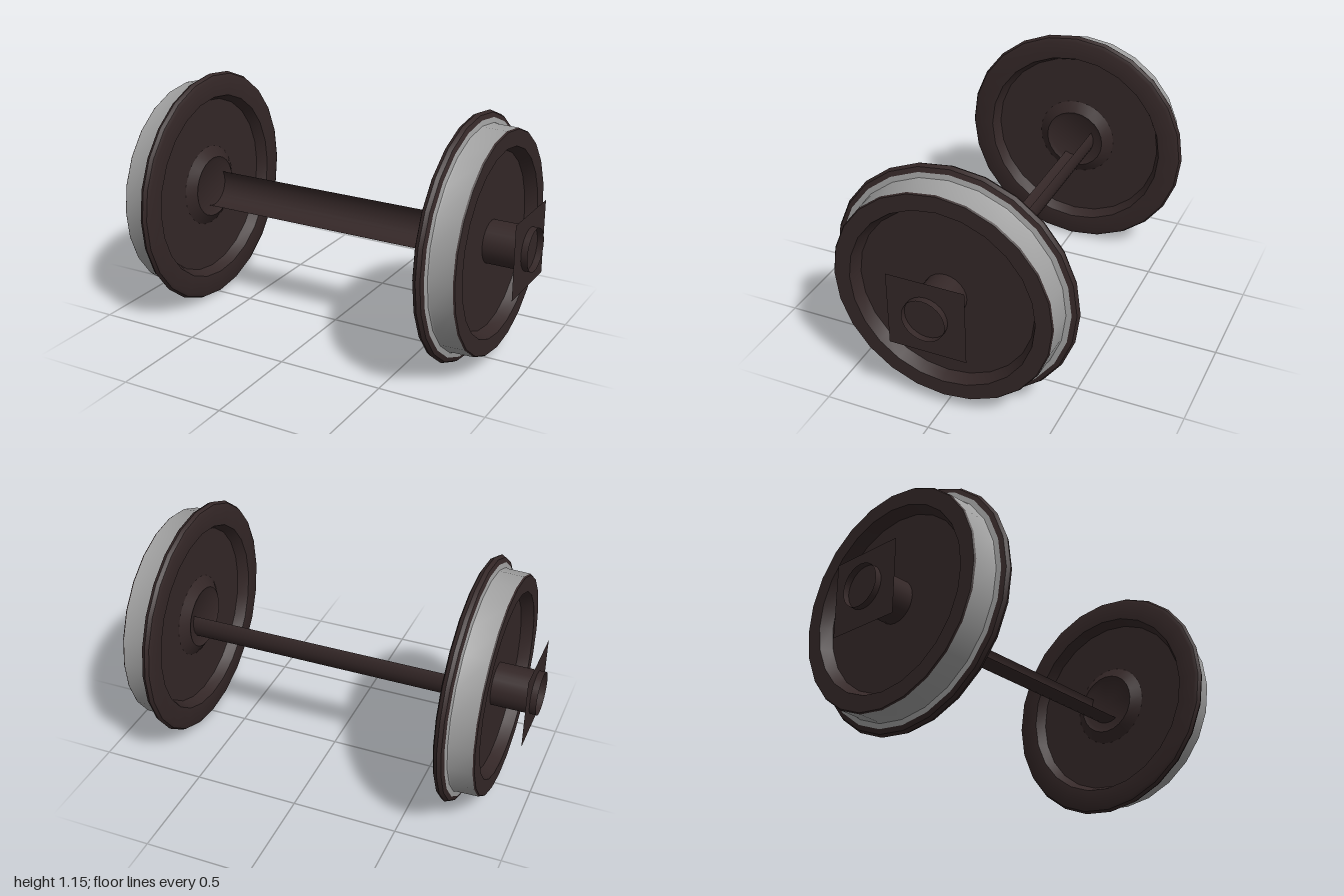
import * as THREE from 'three';
import { toCreasedNormals } from 'three/addons/utils/BufferGeometryUtils.js';

const SIDES = 24;
const AXIS_Y = 0.58;

export function createModel() {
  const darkBrown = new THREE.MeshStandardMaterial({ color: 0x342727, side: THREE.DoubleSide });
  const steelGrey = new THREE.MeshStandardMaterial({ color: 0xa0a0a0, side: THREE.DoubleSide });

  const model = new THREE.Group();
  model.name = 'wheelset';

  // Adds a mesh whose own y axis is turned to point along +x
  const add = (parent, name, geometry, material) => {
    const mesh = new THREE.Mesh(geometry, material);
    mesh.name = name;
    mesh.rotation.z = -Math.PI / 2;
    parent.add(mesh);
    return mesh;
  };

  // Revolves [radius, distance along axle] pairs
  const revolve = (points) => toCreasedNormals(
    new THREE.LatheGeometry(points.map(([r, x]) => new THREE.Vector2(r, x)), SIDES), 0.6);

  // Inner face: hub boss, recessed web, rim and rounded flange
  const innerFace = revolve([
    [0, 0.7], [0.13, 0.7], [0.15, 0.69], [0.2, 0.725], [0.435, 0.725], [0.46, 0.675],
    [0.55, 0.672], [0.566, 0.68], [0.575, 0.697], [0.566, 0.714], [0.545, 0.722],
  ]);
  // Running surface with the fillet up to the flange
  const tread = revolve([[0.545, 0.722], [0.522, 0.727], [0.518, 0.735], [0.515, 0.838]]);
  // Outer face: rim and dished web
  const outerFace = revolve([
    [0.515, 0.838], [0.51, 0.845], [0.435, 0.845], [0.41, 0.79], [0, 0.79],
  ]);
  const stub = new THREE.CylinderGeometry(0.1, 0.1, 0.22, SIDES, 1, true);
  const plate = new THREE.PlaneGeometry(0.36, 0.35);

  for (const side of [1, -1]) {
    const wheel = new THREE.Group();
    wheel.name = side > 0 ? 'leftWheel' : 'rightWheel';
    wheel.position.y = AXIS_Y;
    wheel.rotation.y = side > 0 ? 0 : Math.PI;
    add(wheel, 'innerFaceAndFlange', innerFace, darkBrown);
    add(wheel, 'tread', tread, steelGrey);
    add(wheel, 'outerFace', outerFace, darkBrown);

    // Open axle end with a thin square bearing plate set just inside it
    add(wheel, 'axleEnd', stub, darkBrown).position.x = 0.89;
    const bearingPlate = new THREE.Mesh(plate, darkBrown);
    bearingPlate.name = 'bearingPlate';
    bearingPlate.position.set(0.97, -0.005, 0);
    bearingPlate.rotation.y = Math.PI / 2;
    wheel.add(bearingPlate);
    model.add(wheel);
  }

  // Middle of the axle: an open shell, missing its upper front part
  const shell = new THREE.CylinderGeometry(
    0.1, 0.1, 1.4, 10, 1, true, Math.PI / 3, Math.PI * 5 / 6);
  add(model, 'axle', shell, darkBrown).position.y = AXIS_Y;

  return model;
}
